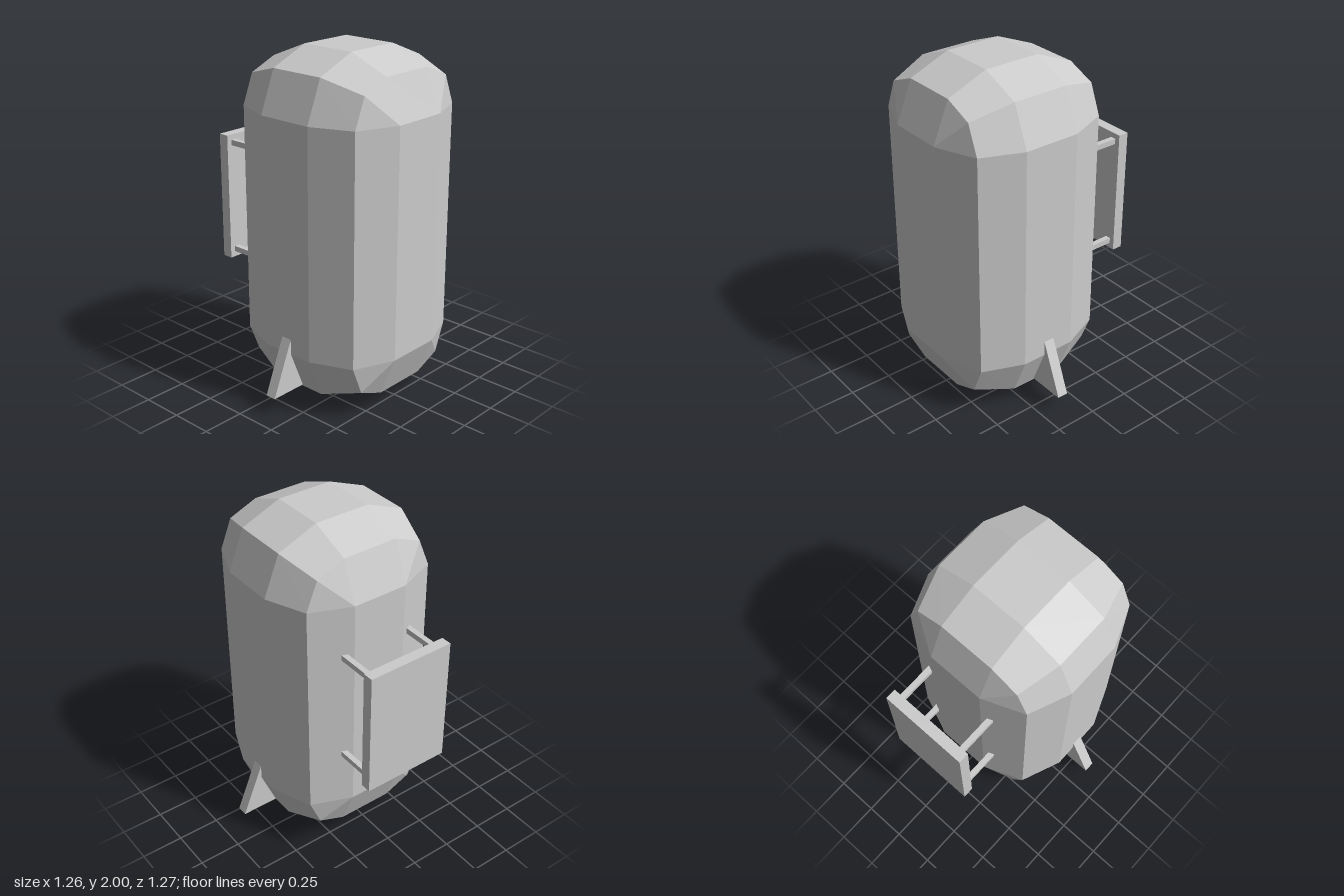
import * as THREE from 'three';
import { ConvexGeometry } from 'three/addons/geometries/ConvexGeometry.js';

const CENTER_Z = 0.133;

export function createModel() {
  const model = new THREE.Group();
  const material = new THREE.MeshStandardMaterial({ color: 0xcccccc, flatShading: true });

  const add = (name, geometry, x = 0, y = 0, z = 0) => {
    const mesh = new THREE.Mesh(geometry, material);
    mesh.name = name;
    mesh.position.set(x, y, z);
    model.add(mesh);
    return mesh;
  };
  const addBox = (name, w, h, d, x, y, z) => add(name, new THREE.BoxGeometry(w, h, d), x, y, z);

  // Tank body: one faceted corner cap, mirrored into all eight octants
  const corner = [
    [0.5, 0.167, 0.167], [0.167, 0.5, 0.167], [0.167, 0.167, 0.5],
    [0.404, 0.404, 0.167], [0.404, 0.167, 0.404], [0.167, 0.404, 0.404],
    [0.335, 0.335, 0.404],
  ];
  const points = [];
  for (const sx of [-1, 1]) for (const sy of [-1, 1]) for (const sz of [-1, 1]) {
    for (const [x, y, z] of corner) {
      points.push(new THREE.Vector3(sx * x, sy * (y + 0.5), sz * z));
    }
  }
  add('tankBody', new ConvexGeometry(points), 0, 1, CENTER_Z);

  // Triangular side fins, rooted inside the body
  for (const [side, name] of [[1, 'leftFin'], [-1, 'rightFin']]) {
    const shape = new THREE.Shape([
      new THREE.Vector2(side * 0.3, 0.105),
      new THREE.Vector2(side * 0.632, 0.105),
      new THREE.Vector2(side * 0.468, 0.5),
    ]);
    const fin = new THREE.ExtrudeGeometry(shape, { depth: 0.065, bevelEnabled: false });
    add(name, fin, 0, 0, CENTER_Z - 0.0375);
  }

  // Back panel on four thin struts
  addBox('backPanel', 0.53, 0.766, 0.064, 0, 1.021, -0.602);
  for (const x of [-0.217, 0.217]) {
    for (const y of [0.688, 1.356]) {
      addBox('panelStrut', 0.033, 0.033, 0.246, x, y, -0.457);
    }
  }

  return model;
}
